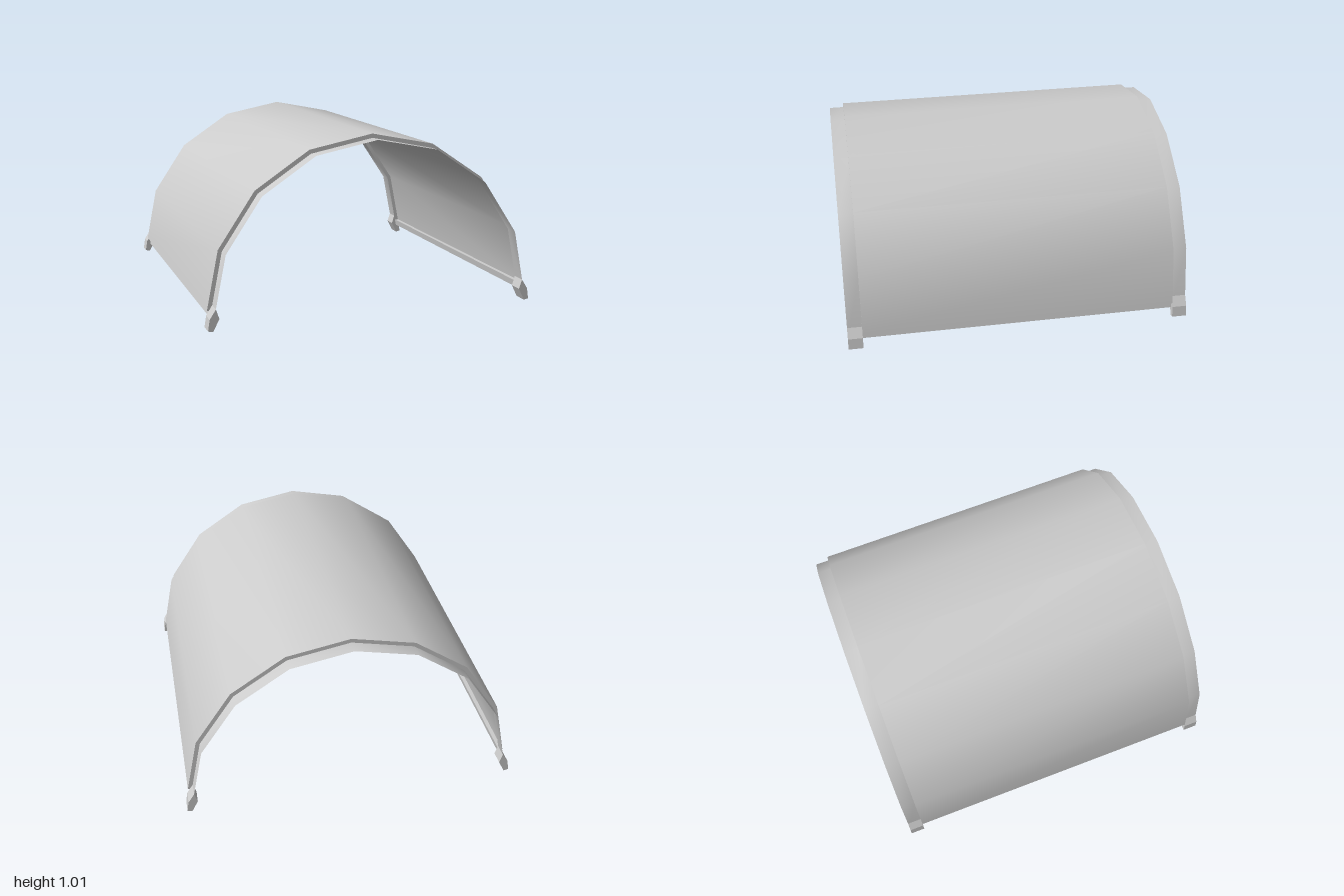
import * as THREE from 'three';

const CENTER_Y = 0.065;   // height of the arch centre
const PANEL_R = 0.955;    // raised panel
const BORDER_R = 0.931;   // recessed border
const PANEL_Z = 0.915, END_Z = 1;
const PANEL_Y = 0.1, BORDER_Y = 0.06;
const SEGMENTS = 8;

const material = new THREE.MeshStandardMaterial({ color: 0xcccccc, side: THREE.DoubleSide });

// Half of a 16-sided arch from +x over the top to -x, trimmed at height bottomY
function archProfile(radius, bottomY) {
  const pts = [];
  for (let i = 0; i <= SEGMENTS; i++) {
    const a = (i / SEGMENTS) * Math.PI;
    pts.push([Math.cos(a) * radius, CENTER_Y + Math.sin(a) * radius]);
  }
  const [x1, y1] = pts[1];
  const t = (bottomY - CENTER_Y) / (y1 - CENTER_Y);
  const x = radius + (x1 - radius) * t;
  pts[0] = [x, bottomY];
  pts[SEGMENTS] = [-x, bottomY];
  return pts;
}

// Sheet between two profiles with equal point counts
function sheet(profileA, zA, profileB, zB) {
  const n = profileA.length;
  const pos = [], index = [];
  for (const [x, y] of profileA) pos.push(x, y, zA);
  for (const [x, y] of profileB) pos.push(x, y, zB);
  for (let i = 0; i < n - 1; i++) {
    index.push(i, i + 1, n + i, i + 1, n + i + 1, n + i);
  }
  const g = new THREE.BufferGeometry();
  g.setAttribute('position', new THREE.Float32BufferAttribute(pos, 3));
  g.setIndex(index);
  g.computeVertexNormals();
  return g;
}

export function createModel() {
  const model = new THREE.Group();
  model.name = 'archedCover';
  const add = (name, geometry) => {
    const mesh = new THREE.Mesh(geometry, material);
    mesh.name = name;
    model.add(mesh);
  };

  const panel = archProfile(PANEL_R, PANEL_Y);
  const border = archProfile(BORDER_R, BORDER_Y);
  const borderAtPanel = archProfile(BORDER_R, PANEL_Y);

  // Raised curved panel
  add('archPanel', sheet(panel, -PANEL_Z, panel, PANEL_Z));

  // Recessed bands at both ends and the small steps up to the panel
  add('frontBand', sheet(border, PANEL_Z, border, END_Z));
  add('backBand', sheet(border, -END_Z, border, -PANEL_Z));
  add('frontStep', sheet(panel, PANEL_Z, borderAtPanel, PANEL_Z));
  add('backStep', sheet(borderAtPanel, -PANEL_Z, panel, -PANEL_Z));

  // Recessed lips and ledges along the lower edges
  for (const [side, s, i] of [['left', 1, 0], ['right', -1, SEGMENTS]]) {
    const lip = [border[i], borderAtPanel[i]];
    const ledge = [borderAtPanel[i], panel[i]];
    if (s < 0) { lip.reverse(); ledge.reverse(); }
    add(side + 'Lip', sheet(lip, -PANEL_Z, lip, PANEL_Z));
    add(side + 'Ledge', sheet(ledge, -PANEL_Z, ledge, PANEL_Z));

    // Wedge-shaped feet at the corners
    const section = [[0.918, 0.13], [0.953, 0.075], [0.963, 0.012], [0.935, 0.006], [0.9, 0.075]];
    const shape = new THREE.Shape(section.map(([x, y]) => new THREE.Vector2(s * x, y)));
    for (const [end, z] of [['Front', PANEL_Z], ['Back', -END_Z]]) {
      const foot = new THREE.ExtrudeGeometry(shape, { depth: END_Z - PANEL_Z, bevelEnabled: false });
      foot.translate(0, 0, z);
      add(side + end + 'Foot', foot);
    }
  }
  return model;
}
